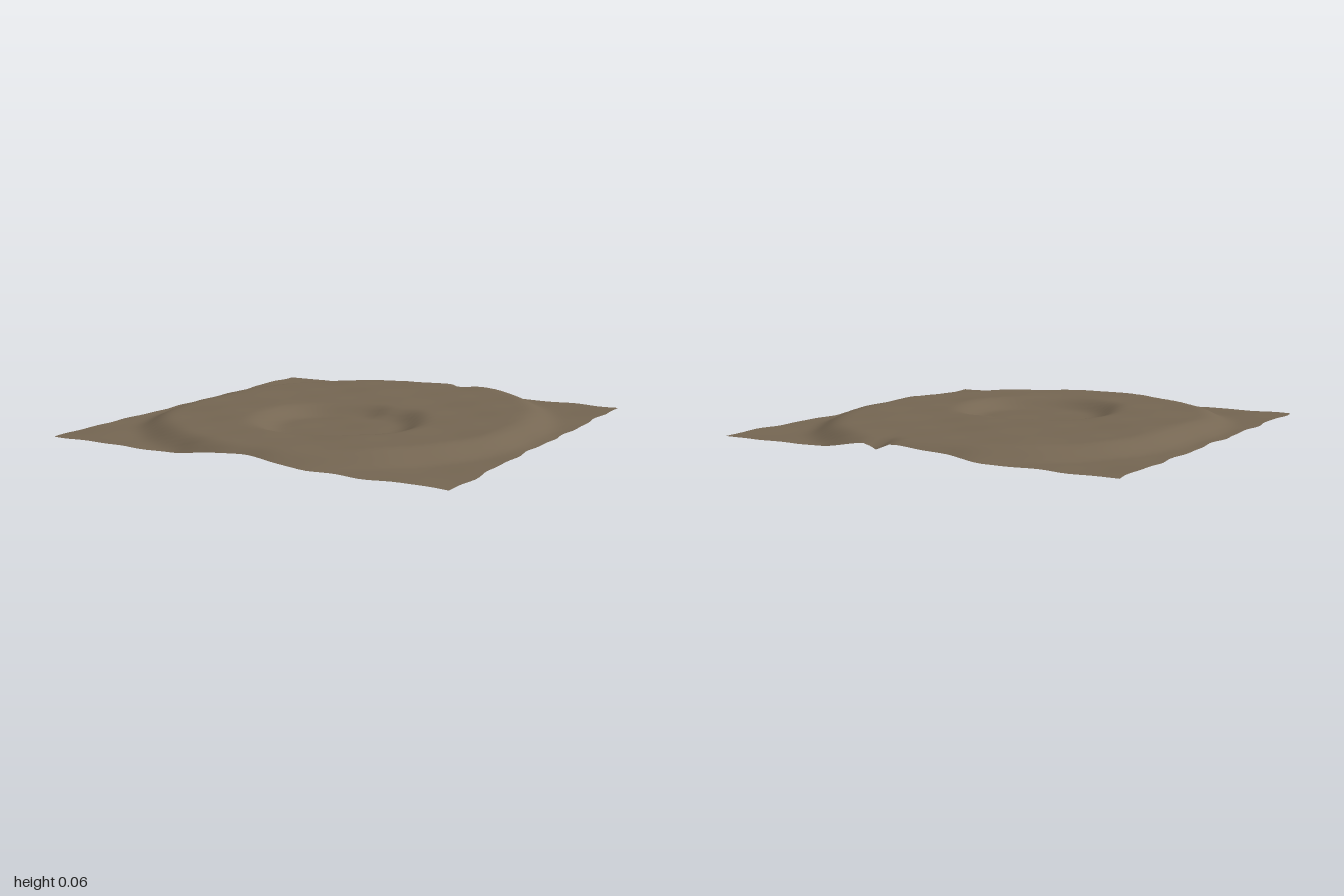
import * as THREE from 'three';

const { smoothstep } = THREE.MathUtils;
const bump = (d, width) => Math.exp(-(d * d) / (width * width));

// Gentle unevenness of the ground
const ripple = (x, z) =>
  0.003 * Math.sin(7.1 * x + 1.3 * z + 0.5) * Math.cos(6.3 * z - 1.7 * x) +
  0.002 * Math.sin(15.7 * x - 4 * z + 2) * Math.cos(13.1 * z + 3 * x + 1);

// Ragged outline, used along all four borders
const ragged = (t, phase) =>
  0.006 * Math.sin(16 * t + phase) + 0.004 * Math.sin(29 * t + 2.3 * phase);

function groundHeight(x, z) {
  // Raised round plateau, slightly longer in z than in x
  const r = Math.hypot(x, z);
  const side = r > 0 ? Math.abs(z) / r : 0;
  const wobble = 0.012 * Math.sin(5 * Math.atan2(z, x) + 1);
  const outer = 0.86 + 0.12 * side + (z < 0 ? 0.04 * side ** 6 : 0) + wobble;
  const plateau = 1 - smoothstep(r, outer - 0.075, outer + 0.075);

  // Hollow in the middle, with a small spur in its back wall
  const px = x - 0.04, pz = z - 0.2;
  const angle = Math.atan2(pz, px);
  const spur = 0.05 * bump(angle + 1.33, 0.22);
  const rim = 0.42 - spur + 0.012 * Math.sin(4 * angle);
  const hollow = 1 - smoothstep(Math.hypot(px, pz), rim - 0.13, rim);

  // Small gully cut through the back border
  const gully = bump(x - 0.14, 0.045) * smoothstep(-z, 0.88, 0.99);

  const raised = plateau * (1 - 0.92 * hollow) * (1 - 0.75 * gully);
  return 0.018 + 0.054 * raised + ripple(x, z);
}

export function createModel() {
  const model = new THREE.Group();
  model.name = 'groundPatch';

  const earth = new THREE.MeshStandardMaterial({ color: 0x766753, side: THREE.DoubleSide });
  earth.name = 'brown earth';

  // One open sheet of ground, shaped by rule
  const sheet = new THREE.PlaneGeometry(1.974, 1.974, 56, 56).rotateX(-Math.PI / 2);
  const pos = sheet.attributes.position;
  for (let i = 0; i < pos.count; i++) {
    const x = pos.getX(i), z = pos.getZ(i);
    const edgeX = Math.sign(x) * smoothstep(Math.abs(x), 0.85, 0.987);
    const edgeZ = Math.sign(z) * smoothstep(Math.abs(z), 0.85, 0.987);
    pos.setXYZ(
      i,
      x + edgeX * ragged(z, 1 + edgeX),
      groundHeight(x, z),
      z + edgeZ * ragged(x, 3 + edgeZ)
    );
  }

  // Rest the lowest point on the floor
  sheet.computeBoundingBox();
  sheet.translate(0, -sheet.boundingBox.min.y + 0.002, 0);
  sheet.computeVertexNormals();

  const ground = new THREE.Mesh(sheet, earth);
  ground.name = 'ground';
  model.add(ground);
  return model;
}
